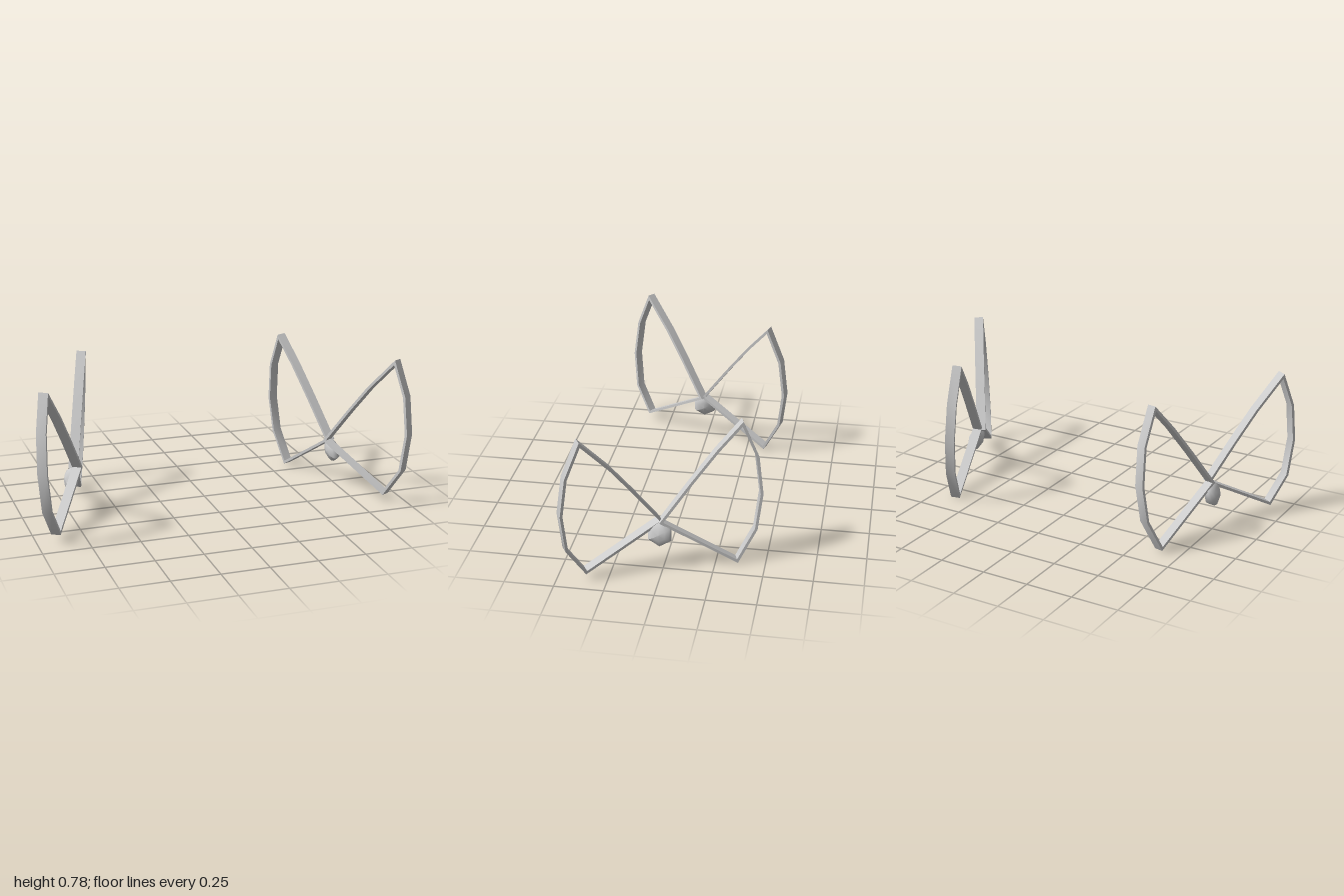
import * as THREE from 'three';
import { toCreasedNormals } from 'three/addons/utils/BufferGeometryUtils.js';

const BAND = 0.05;       // width of the ribbon across the wing plane
const THICK = 0.014;     // thickness of the ribbon within the wing plane

// Closed ribbon of rectangular section following [z, y] points on the plane x = a + b z + c y
function ribbonLoop(points, a, b, c) {
  const normal = new THREE.Vector3(1, -c, -b).normalize();
  const path = points.map(([z, y]) => new THREE.Vector3(a + b * z + c * y, y, z));
  const n = path.length;
  const pos = [], index = [];
  path.forEach((p, i) => {
    const d0 = p.clone().sub(path[(i + n - 1) % n]).normalize();
    const d1 = path[(i + 1) % n].clone().sub(p).normalize();
    const side0 = d0.clone().cross(normal);
    const side = side0.clone().add(d1.clone().cross(normal)).normalize();
    // mitred corner, limited at the sharp tips
    const reach = (THICK / 2) * Math.min(2.4, 1 / Math.max(0.1, side.dot(side0)));
    for (const [u, v] of [[1, 1], [-1, 1], [-1, -1], [1, -1]]) {
      const q = p.clone().addScaledVector(side, u * reach).addScaledVector(normal, v * BAND / 2);
      pos.push(q.x, q.y, q.z);
    }
  });
  for (let i = 0; i < n; i++) {
    for (let k = 0; k < 4; k++) {
      const A = i * 4 + k, B = i * 4 + (k + 1) % 4;
      const C = ((i + 1) % n) * 4 + (k + 1) % 4, D = ((i + 1) % n) * 4 + k;
      index.push(A, B, C, A, C, D);
    }
  }
  const g = new THREE.BufferGeometry();
  g.setAttribute('position', new THREE.Float32BufferAttribute(pos, 3));
  g.setIndex(index);
  return g;
}

// Mirror a geometry across x = 0, keeping its faces outward
function mirrorX(geometry) {
  const g = geometry.clone().scale(-1, 1, 1);
  const idx = g.index.array;
  for (let i = 0; i < idx.length; i += 3) [idx[i + 1], idx[i + 2]] = [idx[i + 2], idx[i + 1]];
  return g;
}

export function createModel() {
  const model = new THREE.Group();
  const material = new THREE.MeshStandardMaterial({ color: 0xcccccc, side: THREE.DoubleSide });

  // Front wing outline, from the shared joint up, around and back
  const frontWing = ribbonLoop([
    [0.022, 0.262], [0.14, 0.455], [0.24, 0.61], [0.366, 0.775],
    [0.432, 0.6], [0.459, 0.4], [0.443, 0.2], [0.363, 0.052],
  ], 0.677, 0.61, 0.05);

  // Back wing outline
  const backWing = ribbonLoop([
    [0.015, 0.262], [-0.128, 0.465], [-0.25, 0.63], [-0.363, 0.764],
    [-0.438, 0.585], [-0.463, 0.383], [-0.44, 0.19], [-0.353, 0.018],
  ], 0.735, 0.31, -0.06);

  // Flattened six-sided bead below the joint, poles facing sideways
  const bead = new THREE.SphereGeometry(0.068, 6, 6);
  bead.rotateZ(-Math.PI / 2);
  bead.rotateX(Math.PI / 2);
  // turn the hexagon so that a corner points down
  bead.computeBoundingBox();
  const box = bead.boundingBox;
  if (box.max.y - box.min.y < box.max.z - box.min.z) bead.rotateX(Math.PI / 6);
  bead.scale(0.52, 1, 1).rotateZ(0.2).translate(0.737, 0.198, 0.018);

  for (const side of ['left', 'right']) {
    const pair = new THREE.Group();
    pair.name = side + 'WingPair';
    const place = (g) => (side === 'left' ? g : mirrorX(g));
    const add = (name, geometry) => {
      const mesh = new THREE.Mesh(geometry, material);
      mesh.name = name;
      pair.add(mesh);
    };
    add('frontWingLoop', toCreasedNormals(place(frontWing), 0.7));
    add('backWingLoop', toCreasedNormals(place(backWing), 0.7));
    const ball = place(bead);
    ball.computeVertexNormals();
    add('bead', ball);
    model.add(pair);
  }
  return model;
}
